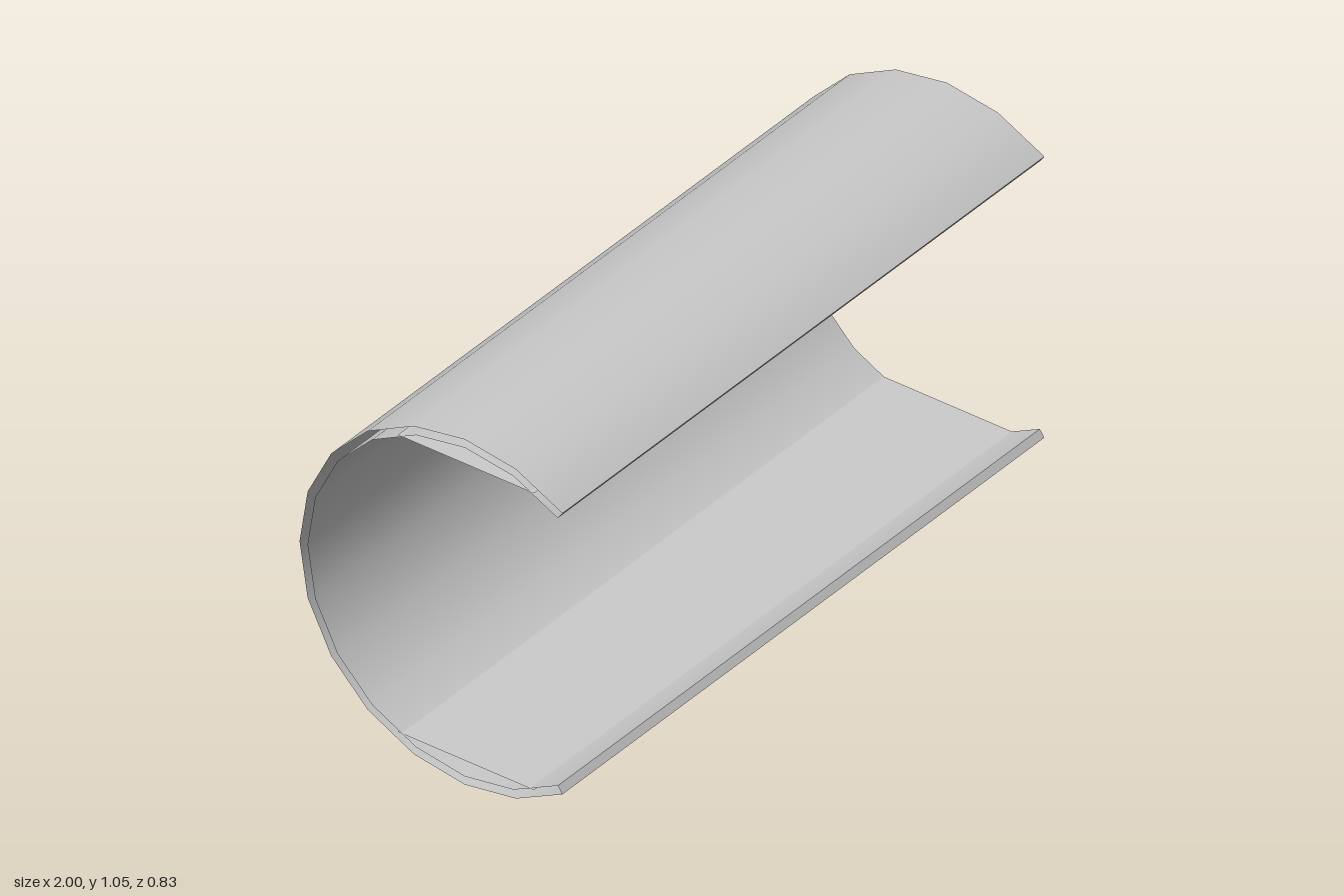
import * as THREE from 'three';

const LENGTH = 2, OUTER = 0.525, INNER = 0.5, SEGMENTS = 14;
const CENTER_Y = 0.525, CENTER_Z = 0.105;
// The slot in the front spans this angle above and below the +z direction.
const SLOT = THREE.MathUtils.degToRad(54.5);
// Half width of the flat strips inside the top and bottom.
const FLAT_HALF = 0.215;

export function createModel() {
  const group = new THREE.Group();
  group.name = 'slottedTube';
  const material = new THREE.MeshStandardMaterial({ color: 0xcccccc, side: THREE.DoubleSide });

  function add(name, geometry, y = CENTER_Y, z = CENTER_Z) {
    const mesh = new THREE.Mesh(geometry, material);
    mesh.name = name;
    mesh.position.set(0, y, z);
    group.add(mesh);
  }

  // Outer and inner walls: open-ended arcs lying along x
  function wall(radius) {
    return new THREE.CylinderGeometry(radius, radius, LENGTH, SEGMENTS, 1, true,
      SLOT, Math.PI * 2 - SLOT * 2).rotateZ(Math.PI / 2);
  }
  add('outerWall', wall(OUTER));
  add('innerWall', wall(INNER));

  const flatY = Math.sqrt(INNER * INNER - FLAT_HALF * FLAT_HALF);
  const middle = (OUTER + INNER) / 2;
  for (const [side, label] of [[1, 'upper'], [-1, 'lower']]) {
    // Narrow lip joining the two walls along the slot
    const angle = side * SLOT;
    const lip = new THREE.PlaneGeometry(LENGTH, OUTER - INNER).rotateX(Math.PI / 2 - angle);
    add(label + 'Lip', lip, CENTER_Y + middle * Math.sin(angle), CENTER_Z + middle * Math.cos(angle));

    // Flat strip bridging the inside of the curve
    const strip = new THREE.PlaneGeometry(LENGTH, FLAT_HALF * 2).rotateX(side * Math.PI / 2);
    add(label + 'FlatStrip', strip, CENTER_Y + side * flatY, CENTER_Z);
  }
  return group;
}
